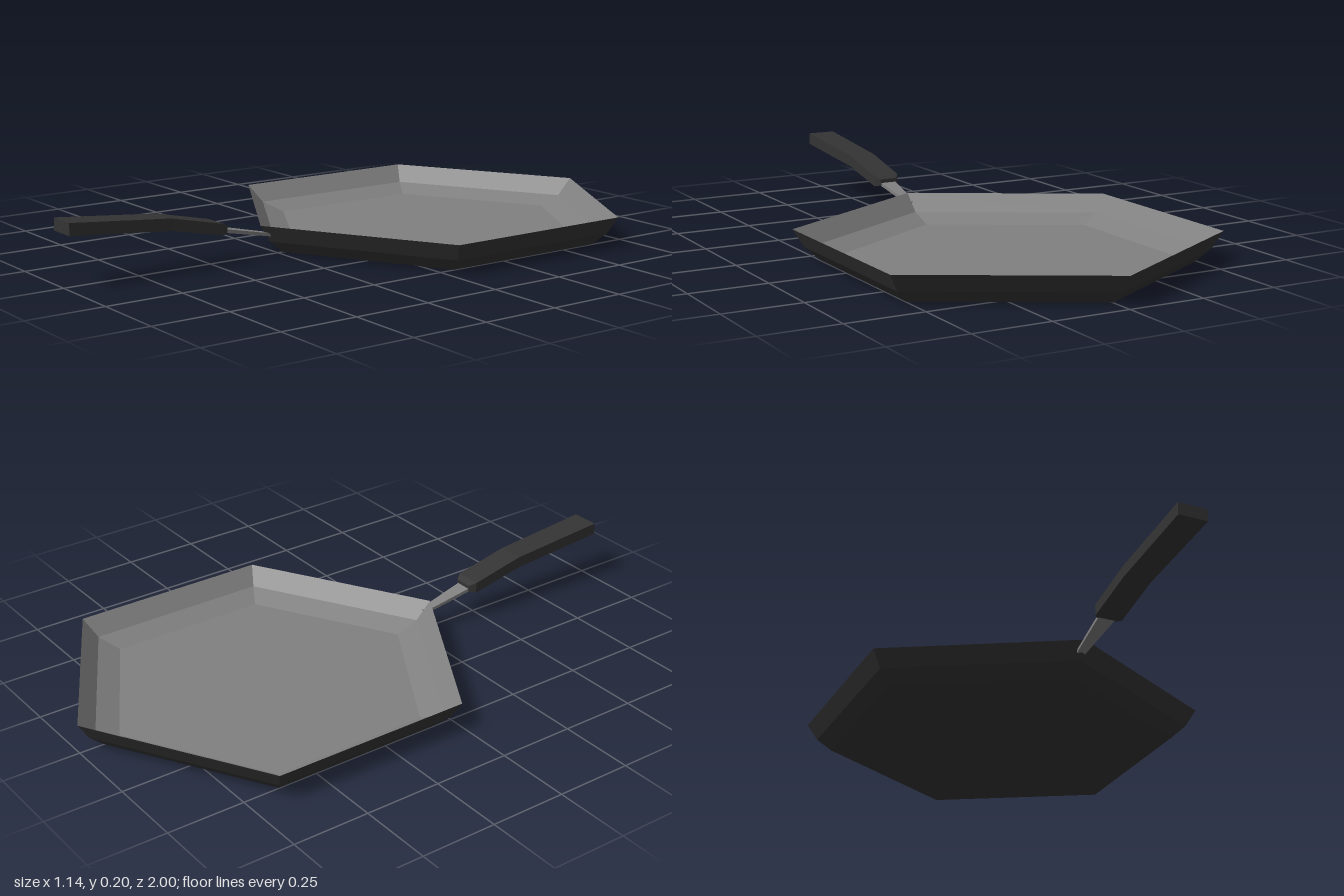
import * as THREE from 'three';

const coating = new THREE.MeshStandardMaterial({ color: 0x343434, flatShading: true });
const metal = new THREE.MeshStandardMaterial({ color: 0x808080, flatShading: true });

// Six-sided turned surface from [radius, y] points
function hexLathe(name, points, material) {
  const geometry = new THREE.LatheGeometry(points.map(([r, y]) => new THREE.Vector2(r, y)), 6);
  const mesh = new THREE.Mesh(geometry, material);
  mesh.name = name;
  return mesh;
}

// Closed bar through rectangular sections [halfWidth, bottomY, topY, z], ordered by rising z
function bar(name, sections, material) {
  const positions = [];
  const index = [];
  for (const [w, y0, y1, z] of sections) {
    positions.push(-w, y0, z, w, y0, z, w, y1, z, -w, y1, z);
  }
  const last = (sections.length - 1) * 4;
  for (let s = 0; s < last; s += 4) {
    for (let i = 0; i < 4; i++) {
      const j = (i + 1) % 4;
      index.push(s + i, s + j, s + 4 + j, s + i, s + 4 + j, s + 4 + i);
    }
  }
  index.push(0, 2, 1, 0, 3, 2);
  index.push(last, last + 1, last + 2, last, last + 2, last + 3);
  const geometry = new THREE.BufferGeometry();
  geometry.setAttribute('position', new THREE.Float32BufferAttribute(positions, 3));
  geometry.setIndex(index);
  geometry.computeVertexNormals();
  const mesh = new THREE.Mesh(geometry, material);
  mesh.name = name;
  return mesh;
}

export function createModel() {
  const model = new THREE.Group();
  model.name = 'fryingPan';

  // Dish: dark outer shell and bare metal inside, meeting at a sharp rim
  const dish = new THREE.Group();
  dish.name = 'dish';
  dish.position.z = -0.343;
  dish.add(hexLathe('outerShell', [[0, 0], [0.574, 0], [0.622, 0.04], [0.657, 0.095]], coating));
  dish.add(hexLathe('innerSurface', [[0.657, 0.095], [0.602, 0.04], [0.523, 0.012], [0, 0.012]], metal));
  model.add(dish);

  // Thin metal stem flaring towards the grip
  model.add(bar('stem', [
    [0.014, 0.06, 0.07, 0.285],
    [0.028, 0.1, 0.112, 0.475],
  ], metal));

  // Bent grip with a chamfered inner end
  model.add(bar('grip', [
    [0.03, 0.099, 0.12, 0.455],
    [0.044, 0.094, 0.13, 0.475],
    [0.044, 0.133, 0.171, 0.66],
    [0.047, 0.163, 0.202, 1.0],
  ], coating));

  return model;
}
